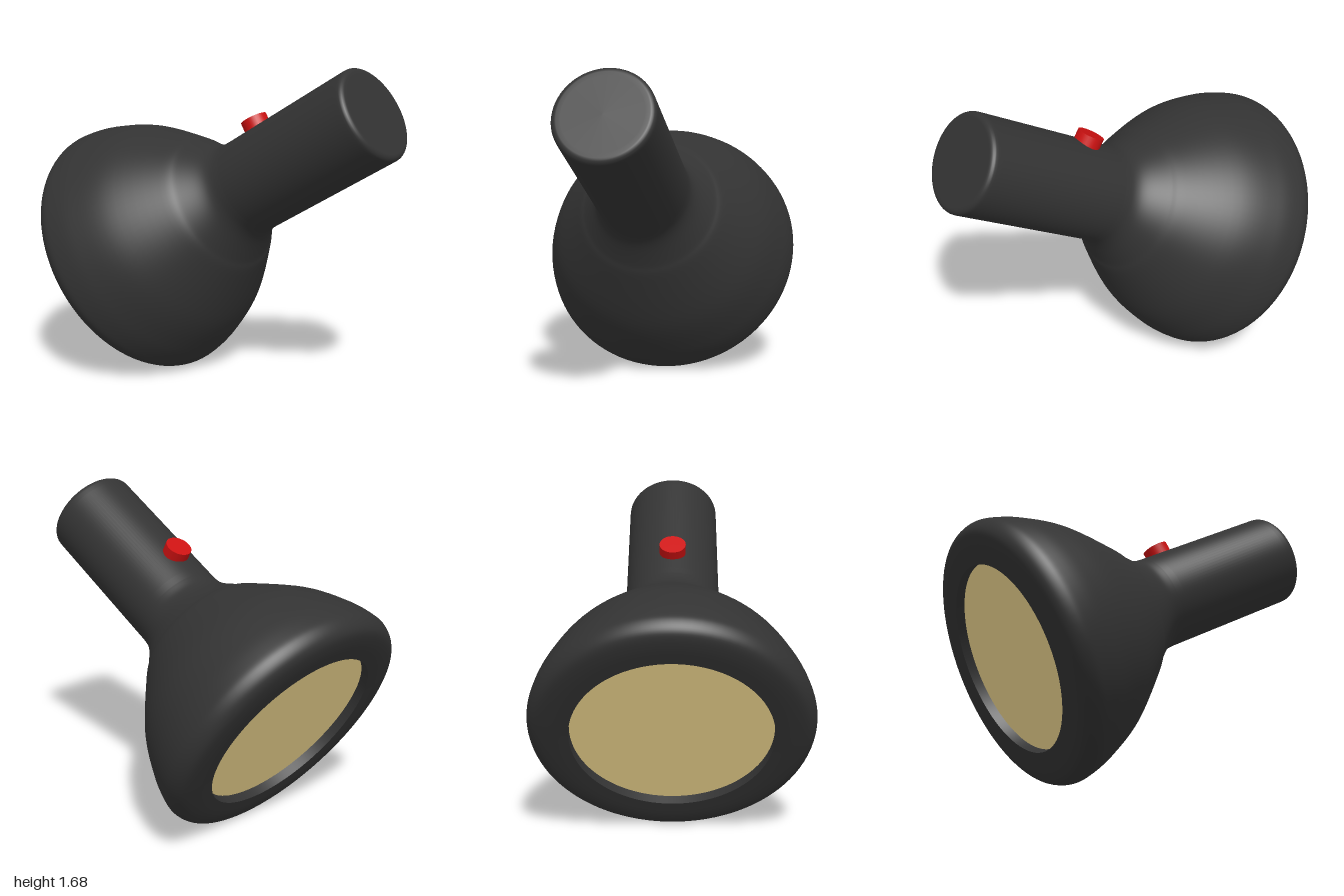
import * as THREE from 'three';

const SEGMENTS = 96;
const V = (r, s) => new THREE.Vector2(r, s);

function material(color, side = THREE.FrontSide) {
  return new THREE.MeshStandardMaterial({ color, side });
}

export function createModel() {
  const model = new THREE.Group();
  model.name = 'flashlight';

  // Everything is built along the torch axis (local y), then tilted
  const torch = new THREE.Group();
  torch.name = 'torch';
  torch.rotation.x = Math.PI / 3;
  torch.position.set(0, 0.736, -0.425);
  model.add(torch);

  const add = (name, geometry, mat) => {
    const mesh = new THREE.Mesh(geometry, mat);
    mesh.name = name;
    torch.add(mesh);
    return mesh;
  };

  const black = material(0x333333);

  // Flared head blending into the handle, with a softly rounded end cap
  const flare = new THREE.SplineCurve([
    V(0.5, -0.285), V(0.6, -0.285), V(0.67, -0.268), V(0.704, -0.215),
    V(0.703, -0.15), V(0.67, -0.03), V(0.582, 0.16), V(0.41, 0.39),
    V(0.35, 0.455), V(0.285, 0.54), V(0.257, 0.6), V(0.25, 0.66),
  ]).getPoints(66);
  const cap = [V(0.25, 0.7), V(0.25, 1.44), V(0.25, 1.465)];
  for (let i = 1; i <= 6; i++) {
    const a = (i / 6) * Math.PI / 2;
    cap.push(V(0.22 + 0.03 * Math.cos(a), 1.47 + 0.03 * Math.sin(a)));
  }
  cap.push(V(0.2, 1.5), V(0, 1.5));
  add('body', new THREE.LatheGeometry([...flare, ...cap], SEGMENTS), black);

  // Inner wall of the lens recess
  add('recessWall', new THREE.LatheGeometry([V(0.5, -0.23), V(0.5, -0.285)], SEGMENTS), material(0x333333, THREE.DoubleSide));

  // Lens, facing out of the head
  const lens = add('lens', new THREE.CircleGeometry(0.5, SEGMENTS), material(0xf5dc93));
  lens.rotation.x = Math.PI / 2;
  lens.position.y = -0.235;

  // Switch on the upper side of the handle
  const button = add('switchButton', new THREE.CylinderGeometry(0.07, 0.07, 0.08, 32), material(0xcc1111));
  button.rotation.x = -Math.PI / 2;
  button.position.set(0, 0.835, -0.256);

  return model;
}
